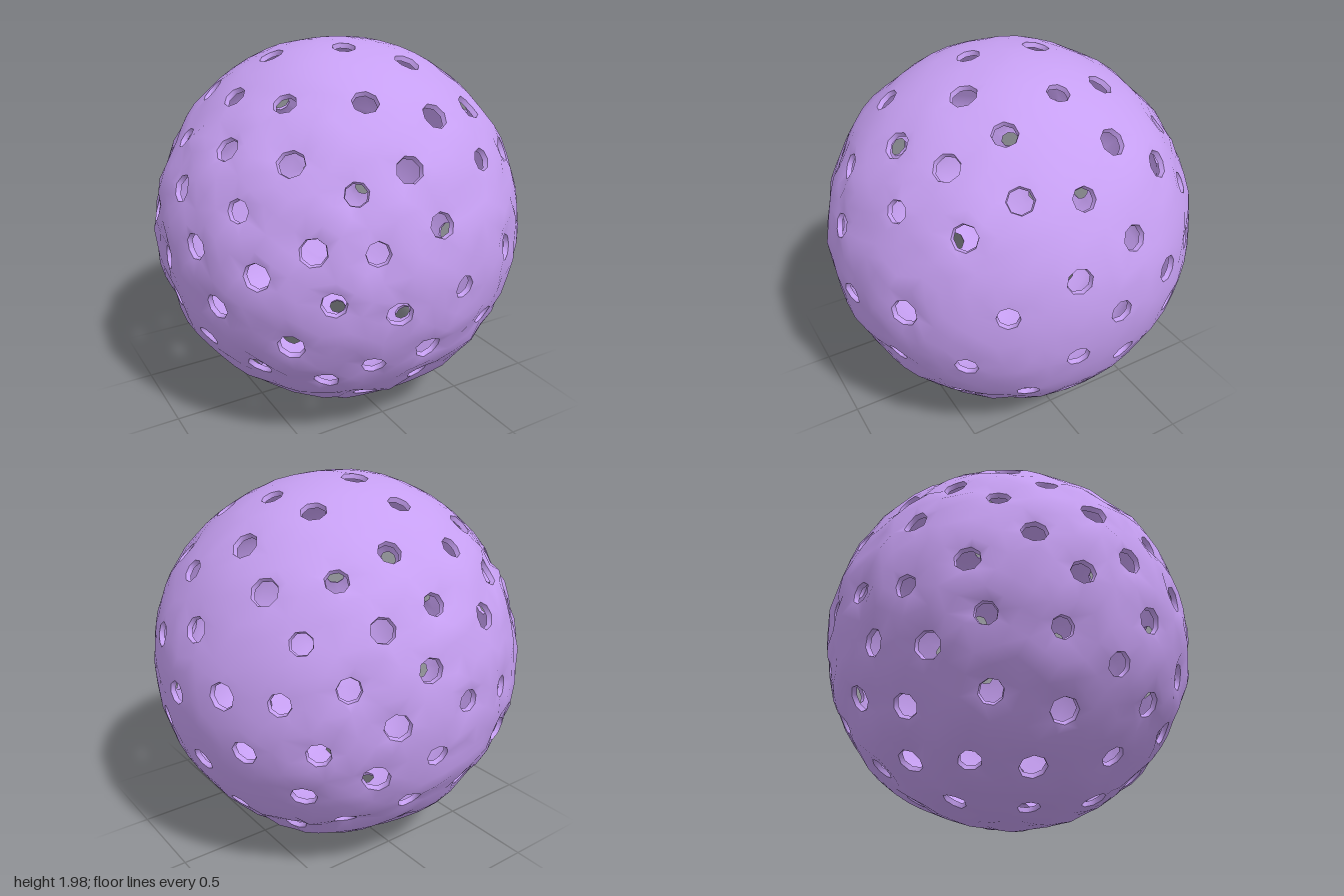
import * as THREE from 'three';
import { ConvexGeometry } from 'three/addons/geometries/ConvexGeometry.js';

const RADIUS = 0.988, THICKNESS = 0.025, HOLE_RADIUS = 0.064, HOLE_SIDES = 8;

// Evenly spread points on a unit sphere
function spiralPoints(count) {
  return Array.from({ length: count }, (_, i) => {
    const y = 1 - 2 * (i + 0.5) / count, r = Math.sqrt(1 - y * y), a = i * 2.399963;
    return new THREE.Vector3(r * Math.cos(a), y, r * Math.sin(a));
  });
}

const isClear = (p, others, gap) => others.every((q) => q.distanceTo(p) > gap);

// Two directions tangent to the sphere at n
function tangents(n) {
  const up = Math.abs(n.y) > 0.95 ? new THREE.Vector3(0, 0, -1) : new THREE.Vector3(0, 1, 0);
  const right = up.cross(n).normalize();
  return [right, n.clone().cross(right)];
}

// Places holes given by (u, v) offsets on the disc that faces along n
function addPatch(centres, n, offsets) {
  const [right, up] = tangents(n);
  for (const [u, v] of offsets) {
    const p = n.clone().multiplyScalar(Math.sqrt(1 - u * u - v * v))
      .addScaledVector(right, u).addScaledVector(up, v).normalize();
    if (isClear(p, centres, 0.2)) centres.push(p);
  }
}

function holeCentres() {
  const centres = [];
  // Front
  addPatch(centres, new THREE.Vector3(0, 0, 1), [
    [0, .27], [-.11, .52], [-.37, .44], [.14, .71], [.35, .49], [-.58, .19], [-.32, .18], [-.51, -.06],
    [-.22, -.13], [.13, -.06], [.5, .02], [.37, -.33], [-.01, -.39], [-.28, -.45], [-.46, -.56], [-.2, -.74],
    [.72, -.24], [-.65, -.32], [.04, -.63], [.52, -.63],
  ]);
  // Left side
  addPatch(centres, new THREE.Vector3(1, 0, 0), [
    [.04, .02], [-.18, .25], [.14, .36], [-.08, .58], [.42, .57], [-.5, .1], [.37, .1],
    [-.17, -.2], [.14, -.33], [.46, -.17], [-.35, -.48], [-.08, -.62], [.2, -.61],
  ]);
  // Top
  addPatch(centres, new THREE.Vector3(0, 1, 0), [
    [0, .16], [-.05, .45], [.36, .31], [-.37, .02], [-.07, -.19], [.2, -.36], [.41, .03],
    [-.62, .23], [-.5, -.38], [-.19, -.59], [-.41, .51], [.18, .66],
  ]);
  // Lower back
  addPatch(centres, new THREE.Vector3(-0.66, -0.34, -0.66).normalize(), [
    [.03, -.03], [.31, .07], [-.28, .04], [-.07, .27], [.24, .34], [-.16, -.28], [.27, -.28],
    [-.46, -.2], [.07, -.57], [-.26, -.54], [-.39, .32], [.52, .43],
  ]);
  // Everywhere else, at the same spacing
  for (const p of spiralPoints(2500)) if (isClear(p, centres, 0.29)) centres.push(p);
  return centres;
}

// Distance of the surface from the middle: wrinkled, but calmer toward the top and left
function surfaceRadius(p, isRim) {
  const rough = 1 - 0.7 * THREE.MathUtils.smoothstep(Math.max(p.x, p.y), 0.5, 0.85);
  const swell = Math.sin(7 * p.x + 3 * p.y + 1) + Math.sin(8 * p.y - 5 * p.z);
  const warp = 2 * Math.sin(6 * p.x - 5 * p.z);
  const wrinkle = Math.sin(25 * p.y + 9 * p.x + warp) + Math.sin(23 * p.x - 14 * p.z + warp);
  return RADIUS + 0.003 * swell + rough * (0.006 * wrinkle - (isRim ? 0.012 : 0));
}

function makeGeometry(points, index) {
  const g = new THREE.BufferGeometry().setFromPoints(points);
  g.setIndex(index);
  g.computeVertexNormals();
  return g;
}

export function createModel() {
  const centres = holeCentres();

  // Points on the sphere: hole centres, their rims, and fillers in between
  const points = [...centres];
  const owner = [...centres];
  centres.forEach((c, i) => {
    const [right, up] = tangents(c);
    const radius = HOLE_RADIUS * (1 + 0.1 * Math.sin(i * 2.7));
    for (let k = 0; k < HOLE_SIDES; k++) {
      const a = k / HOLE_SIDES * Math.PI * 2 + 0.25 * Math.sin(i);
      points.push(c.clone().addScaledVector(right, radius * Math.cos(a))
        .addScaledVector(up, radius * Math.sin(a)).normalize());
      owner.push(c);
    }
  });
  points.push(...spiralPoints(1400).filter((p) => isClear(p, centres, 0.1)));

  // The hull joins the points into triangles; look up which point each corner is
  const key = (x, y, z) => [x, y, z].map(Math.fround).join();
  const lookup = new Map(points.map((p, i) => [key(p.x, p.y, p.z), i]));
  const hull = new ConvexGeometry(points).getAttribute('position');
  const corner = (i) => lookup.get(key(hull.getX(i), hull.getY(i), hull.getZ(i)));

  // Outer and inner skins; the holes narrow slightly inward
  const radii = points.map((p, i) => surfaceRadius(p, Boolean(owner[i])));
  const outer = points.map((p, i) => p.clone().multiplyScalar(radii[i]));
  const inner = points.map((p, i) => {
    const q = owner[i] ? p.clone().lerp(owner[i], 0.08).normalize() : p.clone();
    return q.multiplyScalar(radii[i] - THICKNESS);
  });

  const skin = [], lining = [], wall = [], n = points.length;
  for (let f = 0; f < hull.count; f += 3) {
    const t = [corner(f), corner(f + 1), corner(f + 2)];
    const c = t.findIndex((i) => i < centres.length);
    if (c < 0) {
      skin.push(...t);
      lining.push(t[0], t[2], t[1]);
    } else { // an open hole: line its edge with a wall
      const a = t[(c + 1) % 3], b = t[(c + 2) % 3];
      wall.push(a, b, b + n, a, b + n, a + n);
    }
  }

  const material = new THREE.MeshStandardMaterial({ color: 0xc69ff2 });
  const ball = new THREE.Group();
  ball.name = 'perforatedBall';
  const parts = {
    outerShell: makeGeometry(outer, skin),
    innerShell: makeGeometry(inner, lining),
    holeWalls: makeGeometry([...outer, ...inner], wall),
  };
  for (const [name, geometry] of Object.entries(parts)) {
    const mesh = new THREE.Mesh(geometry, material);
    mesh.name = name;
    ball.add(mesh);
  }

  // Stand the ball on the ground
  const box = new THREE.Box3().setFromPoints(skin.map((i) => outer[i]));
  const mid = box.getCenter(new THREE.Vector3());
  ball.position.set(-mid.x, -box.min.y, -mid.z);

  const model = new THREE.Group();
  model.add(ball);
  return model;
}
